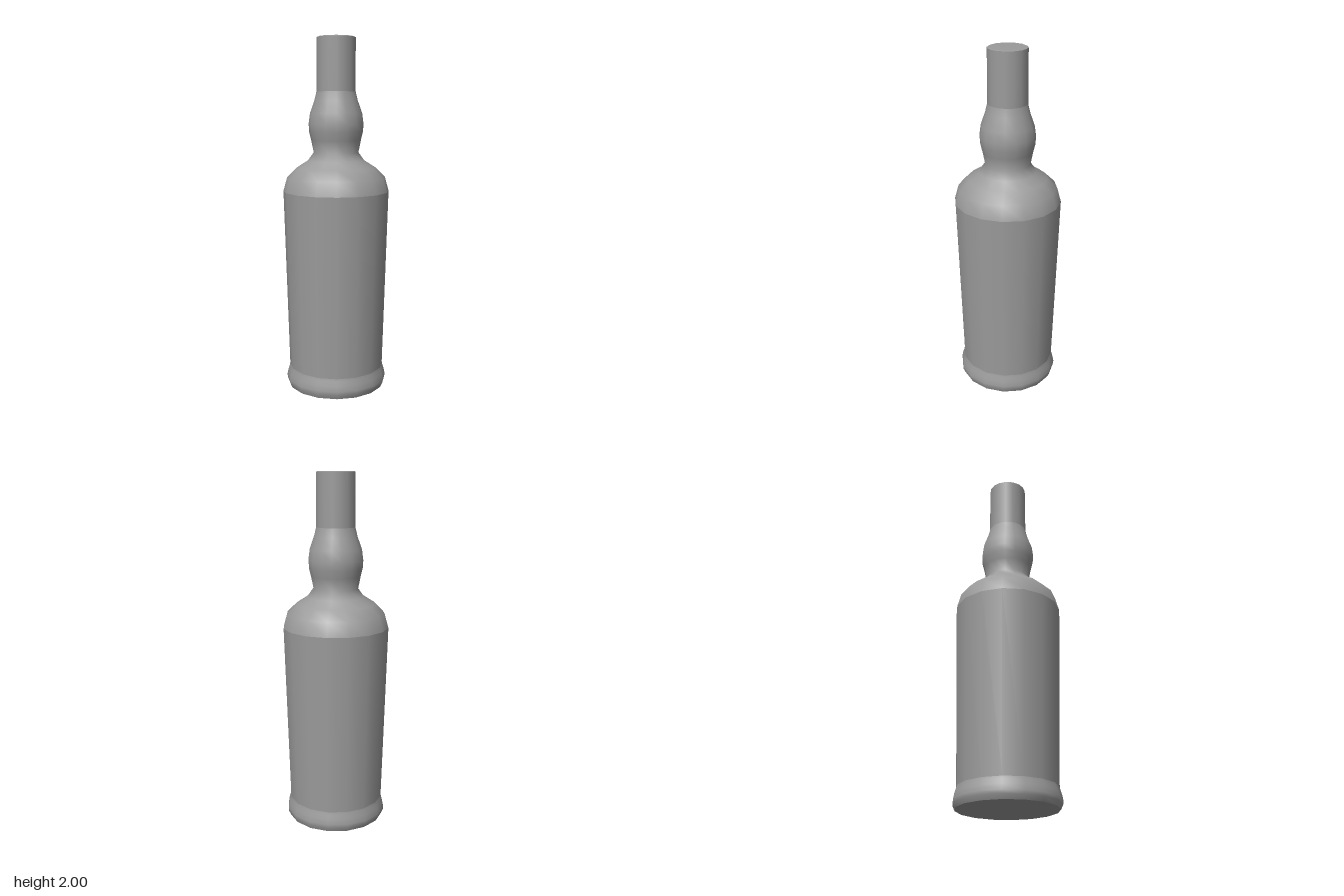
import * as THREE from 'three';

const SIDES = 16;

export function createModel() {
  const bottle = new THREE.Group();
  bottle.name = 'bottle';
  const material = new THREE.MeshStandardMaterial({ color: 0x9b9b9b });

  const add = (name, geometry) => {
    const mesh = new THREE.Mesh(geometry, material);
    mesh.name = name;
    bottle.add(mesh);
  };

  // Each section is its own lathe, so normals are smooth inside it and creased at its ends.
  // Profiles are [radius, height] from bottom to top.
  const sections = {
    foot: [[0.277, 0], [0.288, 0.025], [0.289, 0.045], [0.283, 0.075], [0.275, 0.1], [0.272, 0.115]],
    body: [[0.272, 0.115], [0.301, 1.14]],
    shoulderAndBulge: [[0.301, 1.14], [0.279, 1.22], [0.223, 1.275], [0.16, 1.315], [0.127, 1.36],
      [0.141, 1.43], [0.152, 1.475], [0.155, 1.52], [0.147, 1.58], [0.122, 1.65], [0.11, 1.7]],
    neck: [[0.11, 1.7], [0.109, 1.996]],
    topCap: [[0.109, 1.996], [0.1, 2], [0, 2]],
  };
  for (const [name, profile] of Object.entries(sections)) {
    add(name, new THREE.LatheGeometry(profile.map(([r, y]) => new THREE.Vector2(r, y)), SIDES));
  }

  // Flat closing disc
  add('bottomCap', new THREE.CircleGeometry(0.277, SIDES).rotateX(Math.PI / 2));

  return bottle;
}
